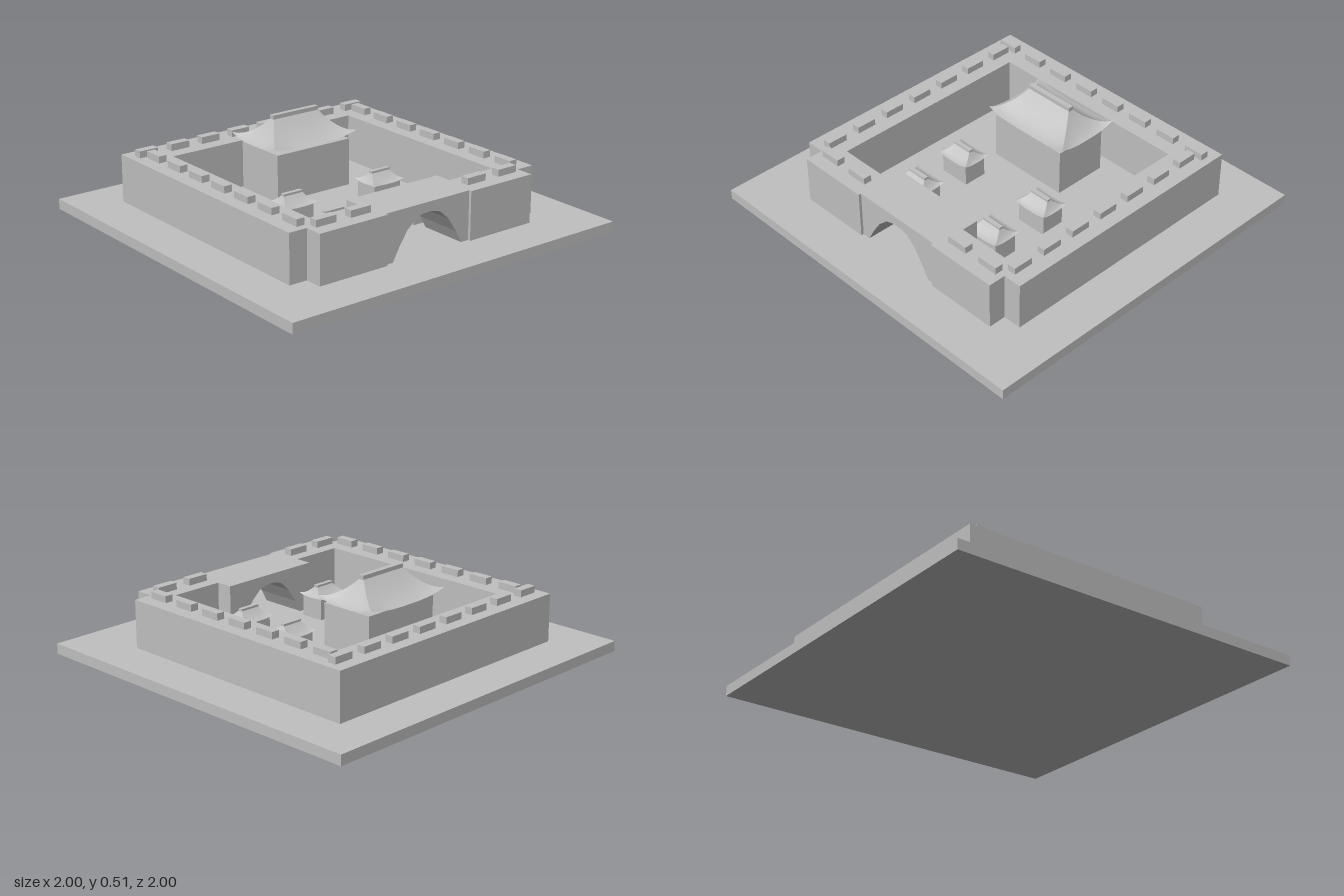
import * as THREE from 'three';

const stone = new THREE.MeshStandardMaterial({ color: 0xc0c0c0, side: THREE.DoubleSide });
stone.name = 'grey stone';

function add(parent, name, geometry, x = 0, y = 0, z = 0) {
  const mesh = new THREE.Mesh(geometry, stone);
  mesh.name = name;
  mesh.position.set(x, y, z);
  parent.add(mesh);
  return mesh;
}

// Box standing on height y
function block(parent, name, w, h, d, x, y, z) {
  return add(parent, name, new THREE.BoxGeometry(w, h, d), x, y + h / 2, z);
}

// Hipped roof with sagging slopes and upturned eave corners, eave middle at y = 0
function roofGeometry(w, d, ridgeW, ridgeD, rise, lift) {
  const rows = 8, cols = 12, pos = [], index = [];
  for (let side = 0; side < 4; side++) {
    const start = pos.length / 3, alongX = side % 2 === 0, sign = side < 2 ? 1 : -1;
    for (let r = 0; r <= rows; r++) {
      const s = r / rows;
      const hx = THREE.MathUtils.lerp(w, ridgeW, s), hz = THREE.MathUtils.lerp(d, ridgeD, s);
      for (let c = 0; c <= cols; c++) {
        const u = (c / cols) * 2 - 1;
        const y = rise * s ** 1.6 + lift * (1 - s) ** 2 * Math.abs(u) ** 3;
        if (alongX) pos.push(sign * u * hx, y, sign * hz);
        else pos.push(sign * hx, y, -sign * u * hz);
      }
    }
    for (let r = 0; r < rows; r++) {
      for (let c = 0; c < cols; c++) {
        const a = start + r * (cols + 1) + c, b = a + cols + 1;
        index.push(a, a + 1, b + 1, a, b + 1, b);
      }
    }
  }
  const g = new THREE.BufferGeometry();
  g.setAttribute('position', new THREE.Float32BufferAttribute(pos, 3));
  g.setIndex(index);
  g.computeVertexNormals();
  return g;
}

export function createModel() {
  const model = new THREE.Group();
  model.name = 'walledCourtyard';
  const ground = 0.055, wallTop = 0.31, wallH = wallTop - ground;

  block(model, 'groundSlab', 2, ground, 2, 0, 0, 0);

  // Enclosing wall, open at the gate
  const half = [
    [0.26, 0.755], [0.66, 0.755], [0.66, 0.66], [0.76, 0.66], [0.76, -0.76],
  ];
  const inner = [
    [0.57, -0.57], [0.57, 0.57], [0.285, 0.57], [0.285, 0.48], [0.26, 0.48],
  ];
  const mirror = (pts) => pts.map(([x, z]) => [-x, z]).reverse();
  const outline = [...half, ...mirror(half), ...mirror(inner), ...inner.slice()];
  const plan = new THREE.Shape(outline.map(([x, z]) => new THREE.Vector2(x, -z)));
  const wall = new THREE.ExtrudeGeometry(plan, { depth: wallH, bevelEnabled: false });
  wall.rotateX(-Math.PI / 2);
  add(model, 'enclosingWall', wall, 0, ground, 0);

  // Gatehouse with arched passage
  const arch = [
    [-0.215, ground], [-0.18, 0.12], [-0.13, 0.195], [-0.075, 0.245], [-0.035, 0.257], [0, 0.26],
    [0.035, 0.257], [0.075, 0.245], [0.13, 0.195], [0.18, 0.12], [0.215, ground],
  ];
  const gate = new THREE.Shape([
    [-0.26, ground], ...arch, [0.26, ground], [0.26, wallTop], [-0.26, wallTop],
  ].map(([x, y]) => new THREE.Vector2(x, y)));
  add(model, 'gatehouse', new THREE.ExtrudeGeometry(gate, { depth: 0.26, bevelEnabled: false }), 0, 0, 0.48);

  // Battlements
  for (let i = 0; i < 8; i++) {
    block(model, 'backMerlon', 0.11, 0.036, 0.045, -0.665 + i * 0.19, wallTop, -0.67);
  }
  for (const side of [-1, 1]) {
    for (let i = 0; i < 7; i++) {
      block(model, 'sideMerlon', 0.045, 0.036, 0.11, side * 0.665, wallTop, -0.575 + i * 0.19);
    }
    for (const x of [0.362, 0.565]) {
      block(model, 'frontMerlon', 0.118, 0.036, 0.045, side * x, wallTop, 0.66);
    }
  }

  // Main hall
  const hall = new THREE.Group();
  hall.name = 'mainHall';
  model.add(hall);
  block(hall, 'hallBody', 0.46, 0.25, 0.3, 0, 0.105, -0.29);
  add(hall, 'hallRoof', roofGeometry(0.262, 0.182, 0.14, 0.013, 0.12, 0.028), 0, 0.372, -0.304);
  block(hall, 'hallRidge', 0.285, 0.022, 0.028, 0, 0.49, -0.304);

  // Four small pavilions
  for (const side of [-1, 1]) {
    for (const [x, z] of [[0.28, 0.043], [0.27, 0.36]]) {
      const pavilion = new THREE.Group();
      pavilion.name = 'pavilion';
      pavilion.position.set(side * x, ground, z);
      model.add(pavilion);
      block(pavilion, 'pavilionBody', 0.17, 0.11, 0.13, 0, 0, 0);
      add(pavilion, 'pavilionRoof', roofGeometry(0.1, 0.081, 0.056, 0.011, 0.048, 0.012), 0, 0.115, 0);
      block(pavilion, 'pavilionRidge', 0.115, 0.012, 0.024, 0, 0.161, 0);
    }
  }
  return model;
}
